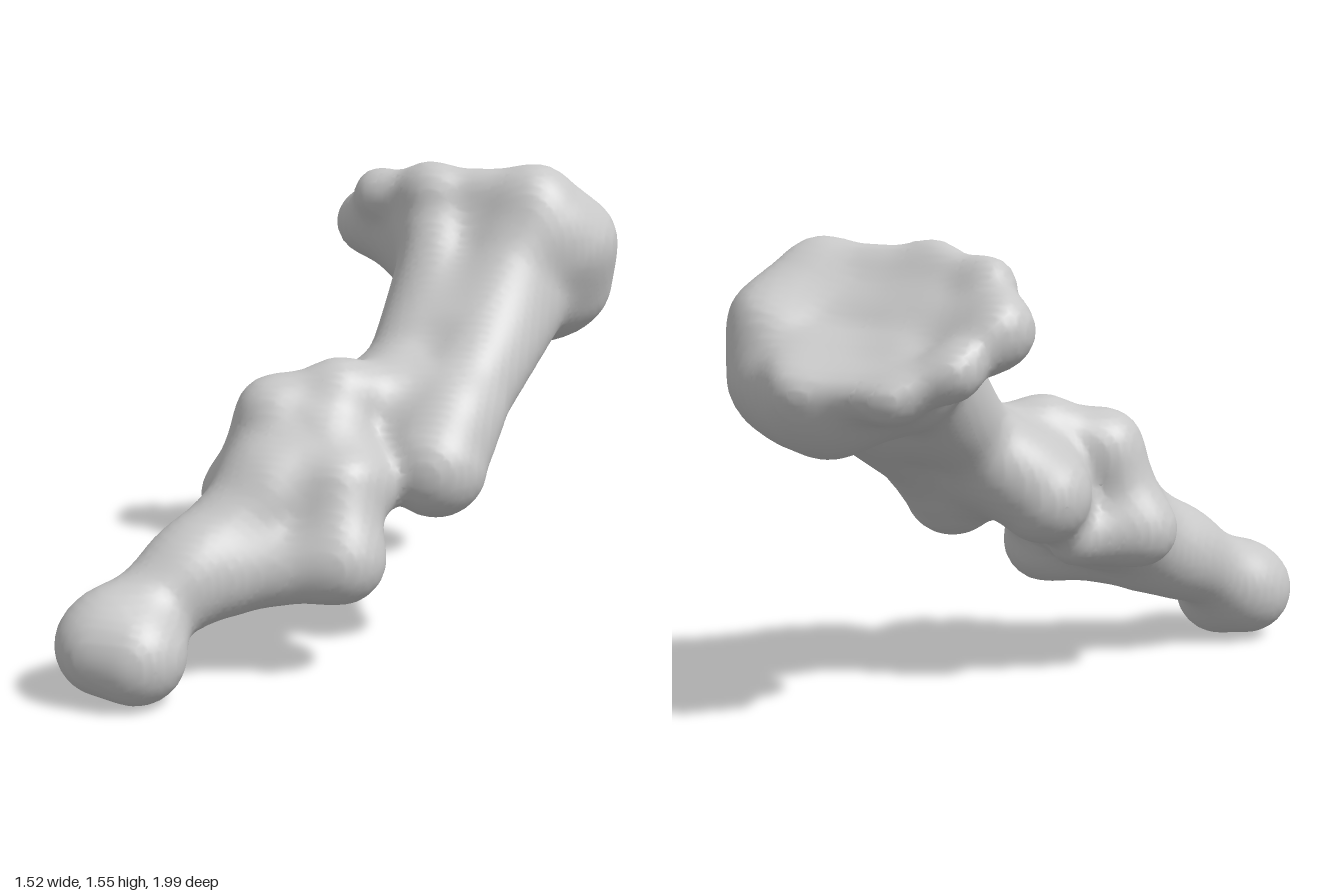
import * as THREE from 'three';

const V = (x, y, z) => new THREE.Vector3(x, y, z);

// Each part is a chain of balls (x, y, z, radius) joined by tapered capsules
const shaft = [
  [[-0.10, 0.67, -0.06, 0.16], [0.00, 0.76, -0.10, 0.14], [0.11, 0.79, -0.07, 0.15], [0.18, 1.14, -0.49, 0.17]], // right condyle and half
  [[0.29, 0.64, 0.13, 0.17], [0.31, 0.76, 0.02, 0.15], [0.42, 1.11, -0.48, 0.20]], // left condyle and half
  [[-0.05, 0.72, -0.01, 0.14], [0.24, 0.69, 0.07, 0.14]], // bridge between condyles
  [[0.20, 1.00, -0.30, 0.15], [0.14, 1.38, -0.51, 0.11]], // flares to the head
  [[0.33, 1.00, -0.30, 0.15], [0.47, 1.36, -0.51, 0.14]],
];
const head = [
  [[0.46, 1.45, -0.52, 0.09], [0.12, 1.46, -0.52, 0.075], [-0.08, 1.42, -0.58, 0.075], [-0.16, 1.31, -0.69, 0.075],
    [-0.06, 1.20, -0.84, 0.075], [0.10, 1.13, -0.90, 0.075], [0.40, 1.13, -0.85, 0.09]], // rim
  [[0.40, 1.13, -0.85, 0.09], [0.55, 1.13, -0.66, 0.165], [0.57, 1.27, -0.60, 0.17], [0.50, 1.41, -0.53, 0.12]], // left lobe
  [[0.15, 1.15, -0.70, 0.17], [0.38, 1.09, -0.73, 0.18], [0.47, 1.08, -0.68, 0.165]], // body under the dish
  [[-0.14, 1.30, -0.69, 0.085], [0.12, 1.30, -0.57, 0.13], [0.50, 1.30, -0.53, 0.16]], // wall behind the dish
  [[0.20, 1.12, -0.60, 0.15], [-0.14, 1.30, -0.69, 0.085]], // right corner support
];
const lowerBone = [
  [[-0.50, 0.16, 0.835, 0.16], [-0.60, 0.18, 0.82, 0.165]], // rounded tip
  [[-0.55, 0.23, 0.76, 0.135], [-0.39, 0.36, 0.57, 0.15], [-0.18, 0.56, 0.31, 0.19], [0.06, 0.60, 0.27, 0.14]], // shaft
  [[-0.25, 0.35, 0.52, 0.12], [0.05, 0.40, 0.44, 0.13], [0.04, 0.62, 0.37, 0.11]], // lower edge and left lobe
  [[0.15, 0.80, -0.02, 0.15], [-0.04, 0.85, 0.12, 0.11], [-0.23, 0.79, 0.20, 0.12],
    [-0.36, 0.52, 0.20, 0.11], [-0.18, 0.51, 0.06, 0.10]], // top lip, right edge, underside knob
  [[-0.18, 0.58, 0.28, 0.19], [-0.05, 0.70, 0.22, 0.15]], // core
];

// Shallow dish on the end of the upper bone
const dishRadius = 0.9;
const dishCentre = V(0.25, 1.35, -0.75).addScaledVector(V(0, 0.75, -0.66).normalize(), dishRadius - 0.04);

const smoothMin = (a, b, k) => {
  const h = Math.max(k - Math.abs(a - b), 0) / k;
  return Math.min(a, b) - h * h * k * 0.25;
};

function capsule(a, b, x, y, z) {
  const dx = b[0] - a[0], dy = b[1] - a[1], dz = b[2] - a[2];
  const px = x - a[0], py = y - a[1], pz = z - a[2];
  const raw = (px * dx + py * dy + pz * dz) / (dx * dx + dy * dy + dz * dz);
  const t = Math.min(1, Math.max(0, raw));
  return Math.hypot(px - dx * t, py - dy * t, pz - dz * t) - a[3] - (b[3] - a[3]) * t;
}

function blend(chains, x, y, z) {
  let d = 9;
  for (const chain of chains)
    for (let i = 1; i < chain.length; i++) d = smoothMin(d, capsule(chain[i - 1], chain[i], x, y, z), 0.08);
  return d;
}

// Signed distance to the whole joint
const upperBone = shaft.concat(head);
function field(x, y, z) {
  const dish = Math.hypot(x - dishCentre.x, y - dishCentre.y, z - dishCentre.z) - dishRadius;
  const upper = -smoothMin(-blend(upperBone, x, y, z), dish, 0.05);
  return smoothMin(upper, blend(lowerBone, x, y, z), 0.06);
}

// Skin the field with one vertex per crossed cell and one quad per crossed edge
function skin(min, max, step) {
  const n = ['x', 'y', 'z'].map((a) => Math.ceil((max[a] - min[a]) / step) + 1);
  const stride = [1, n[0], n[0] * n[1]];
  const values = new Float32Array(n[0] * n[1] * n[2]);
  for (let k = 0, i = 0; k < n[2]; k++)
    for (let j = 0; j < n[1]; j++)
      for (let l = 0; l < n[0]; l++, i++)
        values[i] = field(min.x + l * step, min.y + j * step, min.z + k * step);

  const cellVertex = new Int32Array(values.length).fill(-1);
  const positions = [], index = [];
  const eachCell = (start, visit) => {
    for (let k = start; k < n[2] - 1; k++)
      for (let j = start; j < n[1] - 1; j++)
        for (let l = start; l < n[0] - 1; l++) visit(l + j * stride[1] + k * stride[2], [l, j, k]);
  };

  eachCell(0, (base, cell) => {
    const sum = [0, 0, 0];
    let count = 0;
    for (let corner = 0; corner < 8; corner++) {
      const bits = [corner & 1, (corner >> 1) & 1, corner >> 2];
      const here = base + bits[0] + bits[1] * stride[1] + bits[2] * stride[2];
      for (let d = 0; d < 3; d++) {
        if (bits[d]) continue;
        const a = values[here], b = values[here + stride[d]];
        if (a < 0 === b < 0) continue;
        for (let e = 0; e < 3; e++) sum[e] += bits[e] + (e === d ? a / (a - b) : 0);
        count++;
      }
    }
    if (!count) return;
    cellVertex[base] = positions.length / 3;
    positions.push(...['x', 'y', 'z'].map((a, e) => min[a] + (cell[e] + sum[e] / count) * step));
  });

  eachCell(1, (base) => {
    for (let d = 0; d < 3; d++) {
      const inside = values[base] < 0;
      if (inside === values[base + stride[d]] < 0) continue;
      const u = stride[(d + 1) % 3], v = stride[(d + 2) % 3];
      const q = [base - u - v, base - v, base, base - u].map((c) => cellVertex[c]);
      if (!inside) q.reverse();
      index.push(q[0], q[1], q[2], q[0], q[2], q[3]);
    }
  });

  const geometry = new THREE.BufferGeometry();
  geometry.setAttribute('position', new THREE.Float32BufferAttribute(positions, 3));
  geometry.setIndex(index);
  geometry.computeVertexNormals();
  return geometry;
}

export function createModel() {
  const bone = new THREE.MeshStandardMaterial({ color: 0xc8c8c8 });
  bone.name = 'bone grey';

  const joint = new THREE.Mesh(skin(V(-0.92, -0.15, -1.16), V(0.92, 1.72, 1.16), 0.022), bone);
  joint.name = 'fusedToeBones';
  const group = new THREE.Group();
  group.name = 'boneJoint';
  group.add(joint);
  return group;
}
